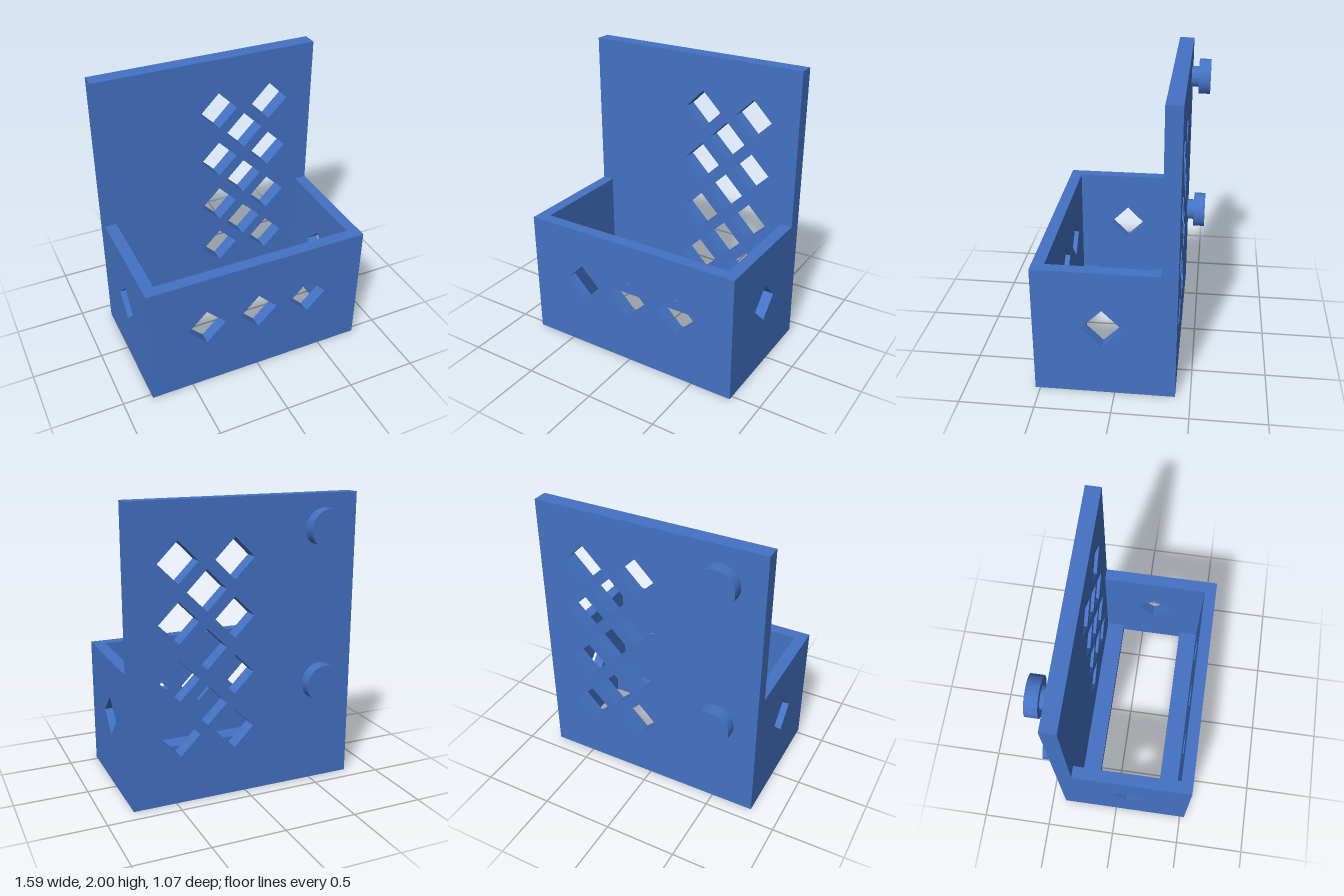
import * as THREE from 'three';
import { toCreasedNormals } from 'three/addons/utils/BufferGeometryUtils.js';

const W = 0.797, INNER = 0.715;          // outer and inner half widths
const BACK = -0.4, PLATE = -0.295;       // back plate faces
const FRONT = 0.533, FRONT_IN = 0.45;    // front wall faces
const BOX_H = 0.905, FLOOR = 0.08;

const blue = new THREE.MeshStandardMaterial({ color: 0x4472c4 });
blue.name = 'blue plastic';

function diamond(x, y, r = 0.137) {
  const p = new THREE.Path();
  p.moveTo(x, y - r).lineTo(x + r, y).lineTo(x, y + r).lineTo(x - r, y).closePath();
  return p;
}

// Rectangular sheet with diamond cut-outs, extruded along +z
function sheet(x0, x1, y0, y1, depth, holes) {
  const s = new THREE.Shape();
  s.moveTo(x0, y0).lineTo(x1, y0).lineTo(x1, y1).lineTo(x0, y1).closePath();
  s.holes = holes.map(([x, y]) => diamond(x, y));
  return new THREE.ExtrudeGeometry(s, { depth, bevelEnabled: false });
}

// Round disc that runs down to a right-angled point
function teardrop(r, depth) {
  const s = new THREE.Shape();
  s.moveTo(0, -r * Math.SQRT2);
  s.absarc(0, 0, r, -Math.PI / 4, Math.PI * 1.25, false);
  s.closePath();
  const g = new THREE.ExtrudeGeometry(s, { depth, bevelEnabled: false, curveSegments: 32 });
  return toCreasedNormals(g, 0.5);
}

export function createModel() {
  const model = new THREE.Group();
  model.name = 'wallHolder';
  const add = (name, geometry, x, y, z) => {
    const m = new THREE.Mesh(geometry, blue);
    m.name = name;
    m.position.set(x, y, z);
    model.add(m);
  };

  // Back plate with a staggered lattice of holes
  const lattice = [];
  for (let i = 0; i < 4; i++) {
    const y = 0.465 + i * 0.384;
    lattice.push([0.08, y], [0.465, y]);
    if (i < 3) lattice.push([0.273, y + 0.192]);
  }
  add('backPlate', sheet(-W, W, 0, 2, PLATE - BACK, lattice), 0, 0, BACK);

  // Front wall of the bin
  add('frontWall', sheet(-W, W, 0, BOX_H, FRONT - FRONT_IN,
    [-0.385, 0, 0.383].map((x) => [x, 0.497])), 0, 0, FRONT_IN);

  // Side walls
  for (const [name, x] of [['leftWall', W], ['rightWall', -INNER]]) {
    const g = sheet(PLATE, FRONT_IN, 0, BOX_H, W - INNER, [[0.08, 0.497]]);
    g.rotateY(-Math.PI / 2);
    add(name, g, x, 0, 0);
  }

  // Floor ledges either side of the open slot
  for (const [name, z0, z1] of [['backLedge', PLATE, -0.16], ['frontLedge', 0.31, FRONT_IN]]) {
    add(name, new THREE.BoxGeometry(INNER * 2, FLOOR, z1 - z0), 0, FLOOR / 2, (z0 + z1) / 2);
  }

  // Hanging pegs behind the plate
  for (const [name, y] of [['upperPeg', 1.782], ['lowerPeg', 0.738]]) {
    add(name + 'Stem', teardrop(0.077, 0.05), -0.525, y, -0.45);
    add(name + 'Head', teardrop(0.13, 0.083), -0.525, y, -0.533);
  }
  return model;
}
